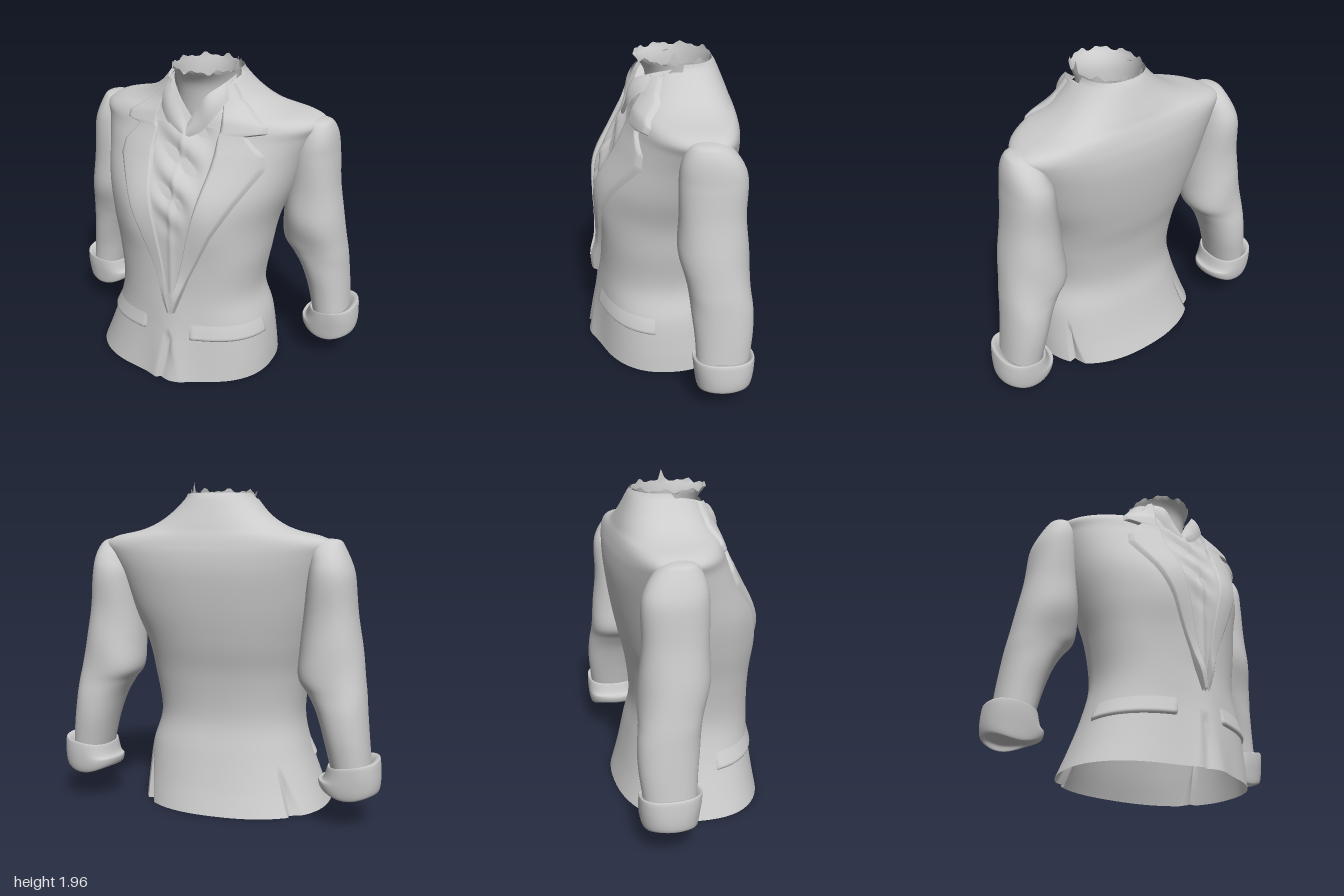
import * as THREE from 'three';

const material = new THREE.MeshStandardMaterial({ color: 0xcccccc, side: THREE.DoubleSide });
const N = 2.3; // squareness of the torso sections
const MID = 0.04; // x of the front opening
const TWIST = 0.05; // the left side sits a little further back

// Section rows run upward: y, x min, x max, z front, z back, z of the widest point
const TORSO = [
  [0, -.62, .54, .435, -.46, 0], [.15, -.56, .53, .415, -.41, 0],
  [.35, -.49, .505, .395, -.36, 0], [.55, -.45, .45, .39, -.32, 0],
  [.8, -.48, .48, .39, -.34, -.02], [1, -.53, .51, .39, -.385, -.06],
  [1.2, -.58, .58, .37, -.42, -.12], [1.4, -.62, .64, .28, -.44, -.18],
  [1.52, -.65, .69, .22, -.435, -.22], [1.59, -.67, .72, .19, -.42, -.23],
  [1.635, -.6, .66, .175, -.405, -.22], [1.67, -.45, .51, .165, -.39, -.19],
  [1.71, -.35, .41, .15, -.375, -.17], [1.77, -.26, .325, .135, -.35, -.14],
  [1.85, -.185, .25, .1, -.315, -.1], [1.885, -.163, .232, .085, -.292, -.1],
];
const SLEEVE = [
  [.34, .705, .935, -.17, -.475], [.5, .665, .92, -.16, -.49], [.65, .615, .905, -.14, -.488],
  [.75, .56, .895, -.12, -.48], [.84, .5, .882, -.1, -.475], [1, .5, .86, -.07, -.455],
  [1.2, .52, .825, -.07, -.44], [1.4, .54, .805, -.07, -.44], [1.5, .56, .785, -.08, -.41],
  [1.58, .57, .755, -.11, -.35], [1.615, .6, .725, -.15, -.29], [1.625, .65, .65, -.22, -.22],
];
const CUFF = [
  [.2, .82, .82, -.32, -.32], [.18, .7, .94, -.2, -.45], [.115, .655, .975, -.18, -.475],
  [.16, .64, .99, -.165, -.495], [.35, .685, .985, -.15, -.5],
  [.375, .7, .965, -.155, -.49], [.35, .715, .93, -.18, -.47],
];
const NECK = [
  [1.6, -.15, .22, .08, -.265], [1.8, -.15, .22, .09, -.275], [1.895, -.163, .232, .155, -.293],
];
// Lapel and collar outline: y, inner and outer distance from the opening
const LAPEL = [
  [.46, 0, .02], [.7, .04, .1], [1, .09, .23], [1.2, .13, .34], [1.38, .16, .45],
  [1.46, .17, .44], [1.54, .175, .36], [1.565, .18, .34], [1.58, .18, .44],
  [1.62, .18, .44], [1.67, .18, .35], [1.74, .17, .26], [1.82, .17, .2],
];

// Smooth interpolation between rows, t in row units
function rowAt(rows, t) {
  const last = rows.length - 1;
  const i = Math.min(Math.floor(t), last - 1), f = t - i;
  const p = rows[Math.max(i - 1, 0)], q = rows[i], r = rows[i + 1], s = rows[Math.min(i + 2, last)];
  return q.map((v, k) => {
    const m0 = (r[k] - p[k]) / 2, m1 = (s[k] - v) / 2, d = r[k] - v;
    return v + f * (m0 + f * (3 * d - 2 * m0 - m1 + f * (m0 + m1 - 2 * d)));
  });
}

// Straight interpolation between rows
function linearRow(rows, t) {
  const i = Math.min(Math.floor(t), rows.length - 2), f = t - i;
  return rows[i].map((v, k) => v + f * (rows[i + 1][k] - v));
}

// Point of a rounded section; angle 0 is the front, growing toward +x
function sectionPoint([y, x0, x1, zf, zb, zc = (zf + zb) / 2], a, n = 2) {
  const s = Math.sin(a), c = Math.cos(a), e = 2 / n;
  const x = (x0 + x1) / 2 + (x1 - x0) / 2 * Math.sign(s) * Math.abs(s) ** e;
  return [x, y, zc + (c > 0 ? zf - zc : zc - zb) * Math.sign(c) * Math.abs(c) ** e];
}

// Smooth surface over a grid, optionally closed around u
function surface(name, nu, nv, fn, closed = false) {
  const pos = [], idx = [], w = closed ? nu : nu + 1;
  for (let j = 0; j <= nv; j++)
    for (let i = 0; i < w; i++) pos.push(...fn(i / nu, j / nv));
  for (let j = 0; j < nv; j++)
    for (let i = 0; i < nu; i++) {
      const a = j * w + i, b = j * w + (i + 1) % w;
      idx.push(a, b, a + w, b, b + w, a + w);
    }
  const g = new THREE.BufferGeometry();
  g.setAttribute('position', new THREE.Float32BufferAttribute(pos, 3));
  g.setIndex(idx);
  g.computeVertexNormals();
  const mesh = new THREE.Mesh(g, material);
  mesh.name = name;
  return mesh;
}

// Bust and the lifted edge of the front opening
const relief = (x, y) =>
  .03 * Math.exp(-(((Math.abs(x - .02) - .24) / .13) ** 2) - ((y - 1.05) / .2) ** 2)
  + .06 * Math.max(0, 1 - y / .6) * Math.exp(-(((x - MID) / .13) ** 2));

function torsoRow(y) {
  let lo = 0, hi = TORSO.length - 1;
  for (let k = 0; k < 24; k++) {
    const m = (lo + hi) / 2;
    if (rowAt(TORSO, m)[0] < y) lo = m; else hi = m;
  }
  return rowAt(TORSO, lo);
}

// Depth of the jacket front at x, y
function frontZ(x, y) {
  const [, x0, x1, zf, , zc] = torsoRow(y);
  const u = Math.min(1, Math.abs(x - (x0 + x1) / 2) / ((x1 - x0) / 2));
  return zc + (zf - zc) * (1 - u ** N) ** (1 / N) + relief(x, y) - TWIST * x;
}

// Front opening and two back vents: wedges pressed in toward the hem
function hemDent(a, y) {
  if (y >= .3) return 0;
  for (const [a0, w] of [[.03, .2], [2.15, .2], [2 * Math.PI - 2.35, .2]]) {
    const f = (a - a0) / (w * (1 - y / .3));
    if (f >= 0 && f < 1) return 1 - f;
  }
  return 0;
}

function torsoPoint(u, v) {
  const a = u * 2 * Math.PI, row = rowAt(TORSO, v * (TORSO.length - 1));
  let [x, y, z] = sectionPoint(row, a, N);
  const cx = (row[1] + row[2]) / 2, k = 1 - .07 * hemDent(a, y);
  x = cx + (x - cx) * k;
  z = row[5] + (z - row[5]) * k;
  if (Math.cos(a) > 0) {
    z += relief(x, y);
    y = Math.min(y, 1.58 + 1.3 * Math.abs(x - MID)); // neckline V
  }
  return [x, y, z - TWIST * x];
}

// Piecewise offset across a raised strip
function ramp(stops, u) {
  const i = Math.max(1, stops.findIndex(s => s[0] >= u));
  const [u0, h0] = stops[i - 1], [u1, h1] = stops[i];
  return h0 + (h1 - h0) * (u - u0) / (u1 - u0);
}

const lapel = side => surface('lapel', 28, 72, (u, v) => {
  const [y, inner, outer] = linearRow(LAPEL, v * (LAPEL.length - 1));
  const x = MID + side * (inner + (outer - inner) * u) * (side > 0 ? 1.05 : .95);
  const roll = 1 + 1.3 * Math.exp(-(((y - .56) / .1) ** 2));
  const h = roll * ramp([[0, -.012], [.1, .024], [.88, .018], [1, -.008]], u);
  return [x, y + h * .4, frontZ(x, y) + h];
});

const pocketFlap = side => surface('pocketFlap', 40, 12, (u, v) => {
  const a = side * (.24 + 1.2 * u), y = .285 - .02 * u + .13 * v;
  const h = u > 0 && u < 1 ? ramp([[0, -.005], [.12, .016], [.5, .008], [1, -.004]], v) : -.005;
  const [x, , z] = sectionPoint(torsoRow(y), a, N);
  return [x + h * Math.sin(a), y, z + relief(x, y) - TWIST * x + h * Math.cos(a)];
});

// Shirt collar wing between an upper and a lower edge
function collarWing(side) {
  const edge = pts => new THREE.CatmullRomCurve3(
    pts.map(([d, y, z]) => new THREE.Vector3(MID + side * d, y, z)));
  const top = edge([[.19, 1.86, -.06], [.17, 1.83, .07], [.11, 1.78, .16], [.05, 1.69, .175], [.005, 1.61, .19]]);
  const low = edge([[.22, 1.78, -.02], [.21, 1.74, .11], [.17, 1.67, .175], [.1, 1.58, .205], [.01, 1.53, .225]]);
  return surface('shirtCollar', 24, 8, (u, v) => {
    const p = low.getPoint(u).lerp(top.getPoint(u), v);
    return [p.x, p.y, p.z + .015 * Math.sin(Math.PI * v)];
  });
}

// One arm: sleeve with soft folds and a turned-up cuff
function arm(side) {
  const g = new THREE.Group();
  g.name = side > 0 ? 'leftArm' : 'rightArm';
  // The right arm hangs further forward; the shoulders lean slightly to the left
  const place = ([x, y, z]) =>
    [side * x + .02 * THREE.MathUtils.smoothstep(y, 1.4, 1.6), y, z + (side < 0 ? .06 : 0)];
  g.add(surface('sleeve', 56, 88, (u, v) => {
    const a = u * 2 * Math.PI, p = sectionPoint(rowAt(SLEEVE, v * (SLEEVE.length - 1)), a, 2.2);
    const fold = .006 * Math.sin(p[1] * 14 + 2 * a) * Math.exp(-(((p[1] - .85) / .3) ** 2));
    return place([p[0], p[1], p[2] + fold * Math.cos(a)]);
  }, true));
  g.add(surface('cuff', 56, 48, (u, v) => {
    const a = u * 2 * Math.PI;
    const [x, y, z] = sectionPoint(rowAt(CUFF, v * (CUFF.length - 1)), a, 2.4);
    // lower edge pointed at the middle, upper edge rising outward
    const low = 1 - THREE.MathUtils.smoothstep(y, .12, .35);
    const lift = low * (3.6 * (x - .82) ** 2 + 2.5 * (z + .32) ** 2) + (1 - low) * .17 * (x - .86);
    return place([x, y + lift, z]);
  }, true));
  return g;
}

export function createModel() {
  const model = new THREE.Group();
  model.name = 'jacket';
  model.add(surface('jacketBody', 200, 105, torsoPoint, true));

  // Shirt with a button placket and draped folds, seen between the lapels
  model.add(surface('shirtFront', 32, 80, (u, v) => {
    const y = .55 + 1.05 * v, s = 2 * u - 1;
    const i = LAPEL.findIndex(r => r[0] >= y), p = LAPEL[i - 1], q = LAPEL[i];
    const half = p[1] + (q[1] - p[1]) * (y - p[0]) / (q[0] - p[0]) + .012;
    const x = MID + s * half;
    const drape = .016 * Math.sin(y * 30 + 3 * s) * (1 - s * s) * THREE.MathUtils.smoothstep(y, .9, 1.3);
    return [x, y, frontZ(x, y) + .008 + drape + .008 * Math.exp(-(((x - MID) / .02) ** 2))];
  }));

  // Neck band with a ragged rim
  model.add(surface('neckBand', 72, 12, (u, v) => {
    const a = u * 2 * Math.PI, p = sectionPoint(rowAt(NECK, v * 2), a);
    if (v === 1) {
      p[1] += .01 * Math.sin(a * 9) + .008 * Math.sin(a * 17 + 1);
      if (Math.abs(a - 1.57) < .06) p[1] += .05;
    }
    return p;
  }, true));

  for (const side of [1, -1])
    model.add(lapel(side), pocketFlap(side), collarWing(side), arm(side));
  return model;
}
